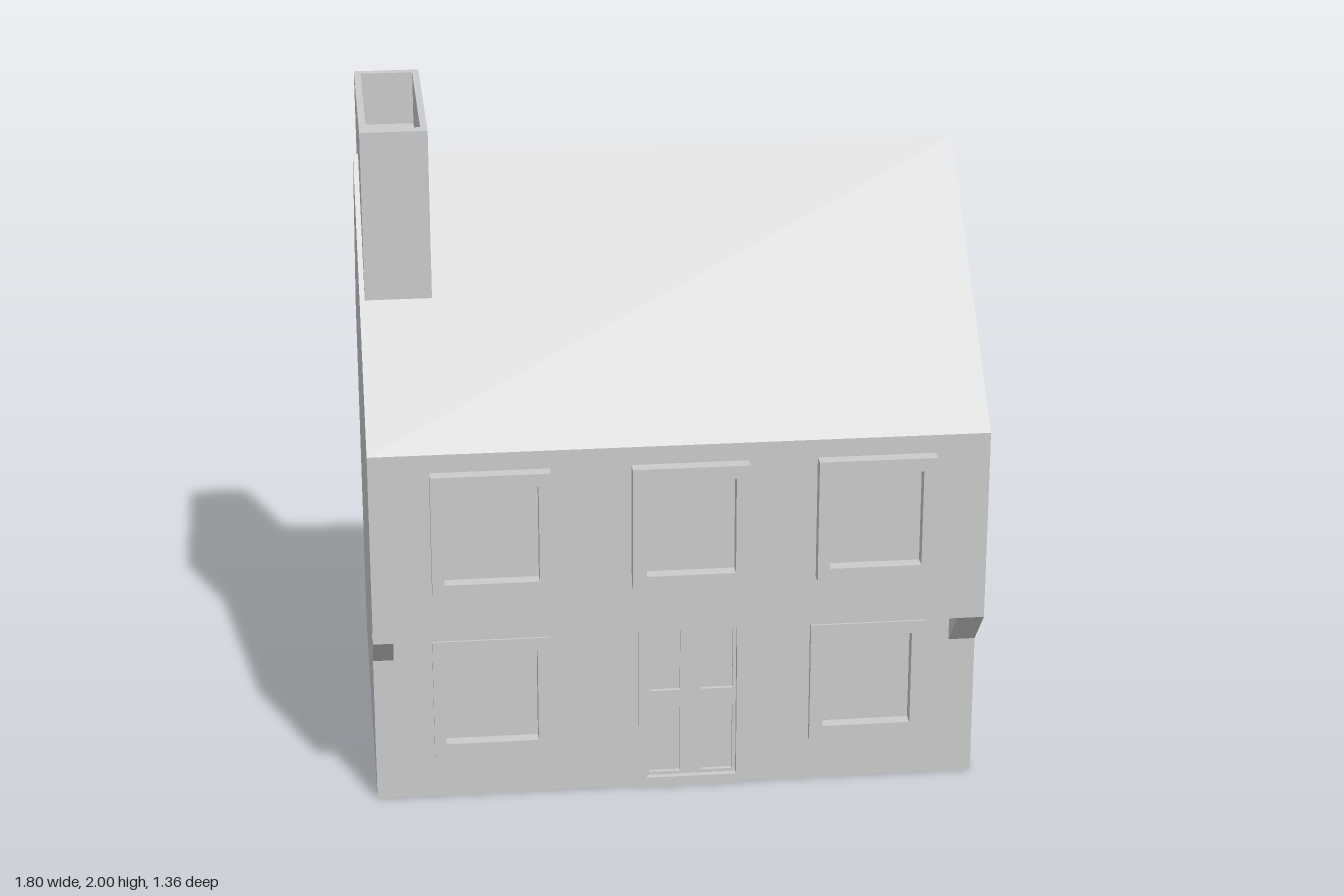
import * as THREE from 'three';

const material = new THREE.MeshStandardMaterial({ color: 0xcccccc, flatShading: true });

// Rectangle as a closed list of points
const rect = (x0, y0, x1, y1) =>
  [[x0, y0], [x1, y0], [x1, y1], [x0, y1]].map(([x, y]) => new THREE.Vector2(x, y));

// Outline with rectangular holes, extruded along +z from z0 to z1
function plate(outline, holes, z0, z1) {
  const shape = new THREE.Shape(outline);
  for (const h of holes) shape.holes.push(new THREE.Path(rect(...h)));
  return new THREE.ExtrudeGeometry(shape, { depth: z1 - z0, bevelEnabled: false }).translate(0, 0, z0);
}

// Side profile of [z, y] points, extruded along x from x0 to x1
function sideProfile(points, x0, x1) {
  const shape = new THREE.Shape(points.map(([z, y]) => new THREE.Vector2(z, y)));
  return new THREE.ExtrudeGeometry(shape, { depth: x1 - x0, bevelEnabled: false })
    .rotateY(-Math.PI / 2).translate(x1, 0, 0);
}

export function createModel() {
  const house = new THREE.Group();
  house.name = 'house';
  const add = (name, geometry, parent = house) => {
    const mesh = new THREE.Mesh(geometry, material);
    mesh.name = name;
    parent.add(mesh);
    return mesh;
  };

  const W = 0.9, wallZ = 0.52, recessZ = 0.5, upperZ = 0.64, jettyY = 0.565;

  // Gabled body with an overhanging upper floor
  add('body', sideProfile([
    [-0.68, 0], [recessZ, 0], [recessZ, jettyY], [upperZ, jettyY],
    [upperZ, 1.15], [-0.08, 1.83], [-0.68, 1.15],
  ], -W, W));

  // Ground floor front wall, pierced for the recessed windows and door
  const lowerOpenings = [[-0.69, 0.18, -0.415, 0.475], [0.44, 0.18, 0.705, 0.475]];
  const doorOpening = [-0.09, 0.03, 0.18, 0.54];
  add('groundFloorWall', plate(rect(-W, 0, W, jettyY), [...lowerOpenings, doorOpening], recessZ, wallZ));

  // Window frames: outer rectangle, opening, back and front depth
  const windows = [
    [[-0.725, 0.135, -0.38, 0.515], lowerOpenings[0], wallZ, 0.54],
    [[0.4, 0.135, 0.745, 0.515], lowerOpenings[1], wallZ, 0.54],
    [[-0.725, 0.72, -0.38, 1.095], [-0.69, 0.76, -0.415, 1.055], upperZ, 0.68],
    [[-0.145, 0.72, 0.195, 1.095], [-0.105, 0.76, 0.155, 1.055], upperZ, 0.68],
    [[0.395, 0.72, 0.74, 1.095], [0.43, 0.76, 0.7, 1.055], upperZ, 0.68],
  ];
  for (const [outer, inner, z0, z1] of windows) add('windowFrame', plate(rect(...outer), [inner], z0, z1));

  // Door frame and a leaf with four sunken panels
  const door = new THREE.Group();
  door.name = 'door';
  house.add(door);
  add('doorFrame', plate(rect(-0.115, 0, 0.205, jettyY), [doorOpening], wallZ, 0.53), door);
  const panels = [];
  for (const [x0, x1] of [[-0.08, 0.012], [0.075, 0.17]])
    for (const [y0, y1] of [[0.04, 0.255], [0.31, 0.53]]) panels.push([x0, y0, x1, y1]);
  add('doorLeaf', plate(rect(...doorOpening), panels, recessZ, 0.512), door);

  // Slanted brackets under the overhang, open behind
  for (const [x0, x1, foot] of [[-W, -0.84, 0.455], [0.82, W, 0.44]])
    add('bracket', sideProfile(
      [[wallZ, foot], [upperZ, jettyY], [0.58, jettyY], [wallZ, 0.508]], x0, x1));

  // Chimney straddling the ridge, with a hollow top
  const [cx0, cx1, cz0, cz1] = [-0.885, -0.69, -0.38, 0.275];
  const chimney = new THREE.Group();
  chimney.name = 'chimney';
  house.add(chimney);
  const floorY = 1.84;
  add('chimneyStack', sideProfile([
    [cz0, 1.487], [-0.08, 1.8], [cz1, 1.487], [cz1, floorY], [cz0, floorY],
  ], cx0, cx1), chimney);
  add('chimneyRim', plate(rect(cx0, -cz1, cx1, -cz0), [[-0.865, -0.235, -0.71, 0.35]], 0, 2 - floorY)
    .rotateX(-Math.PI / 2).translate(0, floorY, 0), chimney);

  return house;
}
